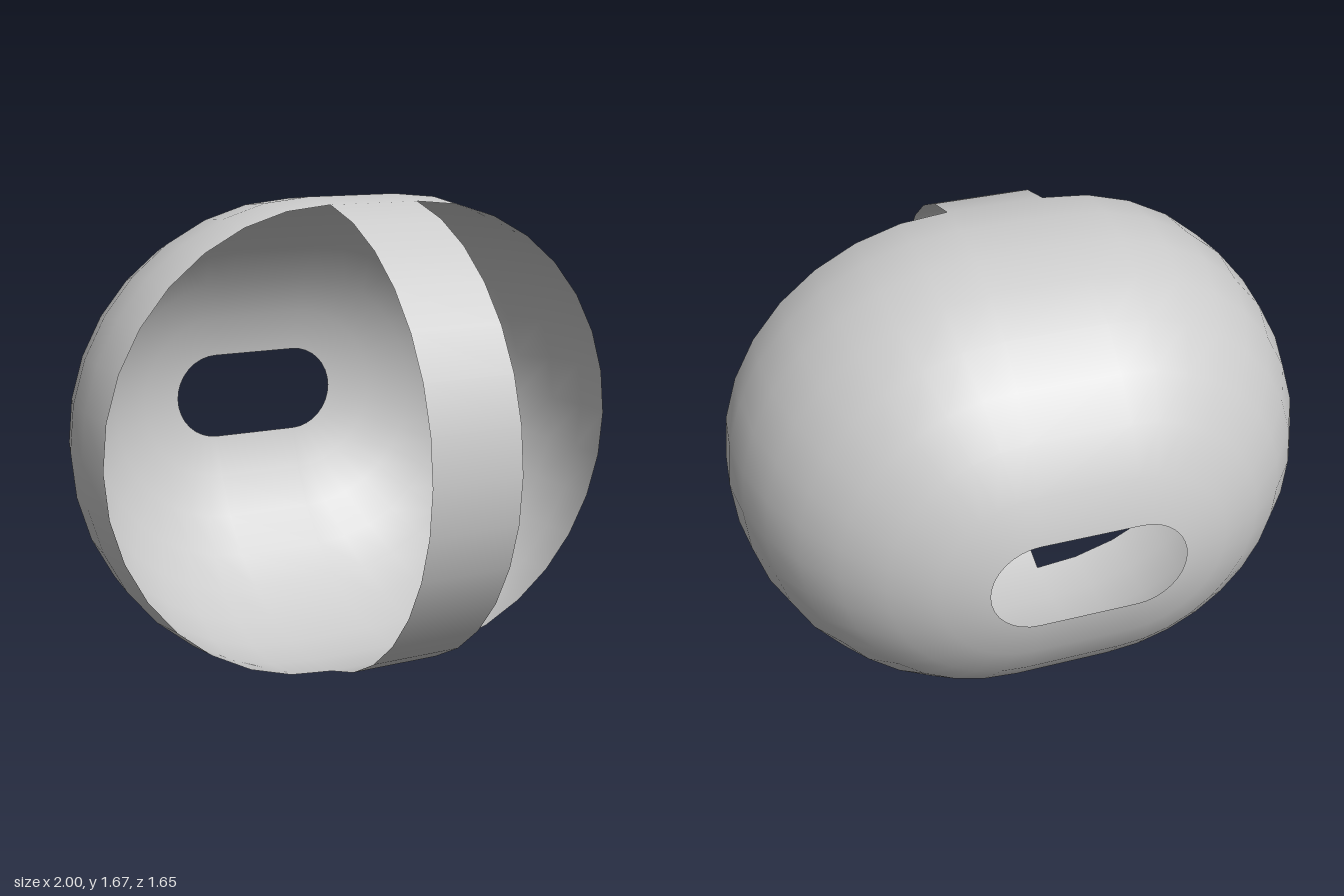
import * as THREE from 'three';

const R = 5 / 6;          // radius of the rounded sides
const W = 1 / 6;          // half width of the straight middle
const STEP = Math.PI / 16;
const ROWS = 8;           // rows from the rear opening to the front rim

// Sphere zone around the z axis, cut at x = 0 and pulled apart by 2W
function shellGeometry() {
  // Columns around the axis; the seams at top and bottom appear once per half
  const columns = [];
  for (const side of [1, -1]) {
    for (let j = 0; j <= 16; j++) {
      columns.push({ side, phi: (side > 0 ? -Math.PI / 2 : Math.PI / 2) + j * STEP });
    }
  }
  columns.push(columns[0]);

  const positions = [], normals = [], index = [];
  const n = columns.length;
  for (let i = 0; i <= ROWS; i++) {
    const theta = STEP * (i + 1);
    for (const { side, phi } of columns) {
      const nx = Math.sin(theta) * Math.cos(phi);
      const ny = Math.sin(theta) * Math.sin(phi);
      const nz = -Math.cos(theta);
      positions.push(side * W + R * nx, R * ny, R * nz);
      normals.push(nx, ny, nz);
    }
  }
  for (let i = 0; i < ROWS; i++) {
    for (let j = 0; j < n - 1; j++) {
      const a = i * n + j, b = a + 1, c = a + n, d = c + 1;
      index.push(a, b, d, a, d, c);
    }
  }
  const geometry = new THREE.BufferGeometry();
  geometry.setAttribute('position', new THREE.Float32BufferAttribute(positions, 3));
  geometry.setAttribute('normal', new THREE.Float32BufferAttribute(normals, 3));
  geometry.setIndex(index);
  return geometry;
}

// Curved strip running over the open front from the top rim to the bottom rim
function bandGeometry() {
  const start = -Math.PI / 2 + STEP;
  return new THREE.CylinderGeometry(R, R, 2 * W, 14, 1, true, start, 14 * STEP)
    .rotateZ(Math.PI / 2);
}

export function createModel() {
  const group = new THREE.Group();
  group.name = 'openShell';
  const material = new THREE.MeshStandardMaterial({ color: 0xcccccc, side: THREE.DoubleSide });

  const add = (name, geometry) => {
    const mesh = new THREE.Mesh(geometry, material);
    mesh.name = name;
    mesh.position.set(0, R, -0.008);
    group.add(mesh);
  };
  add('shell', shellGeometry());
  add('frontBand', bandGeometry());
  return group;
}
